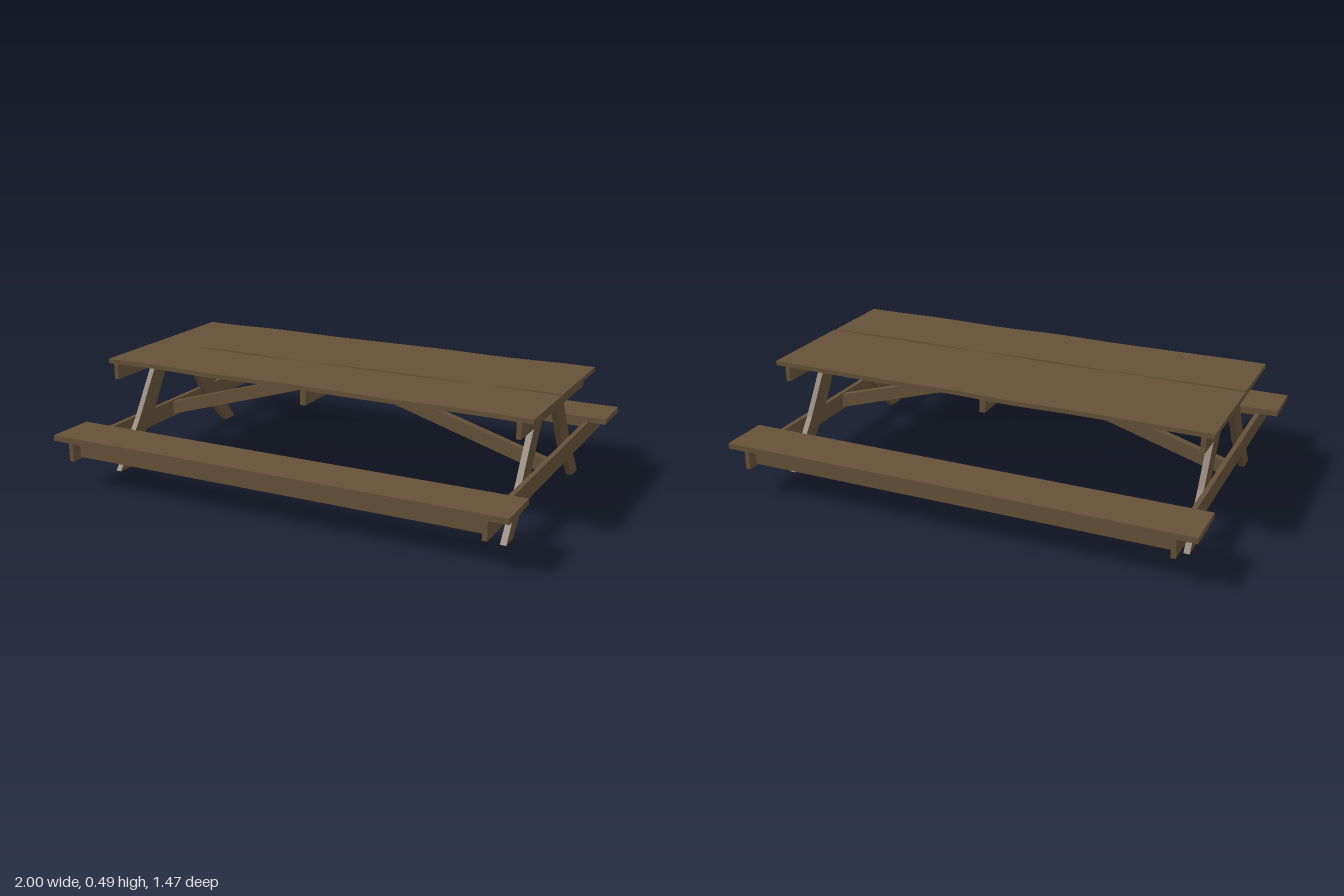
import * as THREE from 'three';

const wood = new THREE.MeshStandardMaterial({ color: 0x655239 });
wood.name = 'weathered brown wood';

export function createModel() {
  const group = new THREE.Group();

  const add = (name, geometry) => {
    const mesh = new THREE.Mesh(geometry, wood);
    mesh.name = name;
    group.add(mesh);
    return mesh;
  };

  // Box given by its extents on each axis
  const board = (name, [x0, x1], [y0, y1], [z0, z1], segments = 1) => {
    const g = new THREE.BoxGeometry(x1 - x0, y1 - y0, z1 - z0, segments, 1, 1);
    g.translate((x0 + x1) / 2, (y0 + y1) / 2, (z0 + z1) / 2);
    return add(name, g);
  };

  // Outline in the xy plane, extruded and centred on z
  const slab = (points, depth) => {
    const shape = new THREE.Shape(points.map(([x, y]) => new THREE.Vector2(x, y)));
    const g = new THREE.ExtrudeGeometry(shape, { depth, bevelEnabled: false });
    return g.translate(0, 0, -depth / 2);
  };

  // Table top: two wide boards with slightly worn, wavy edges
  [[-0.412, 0.047], [0.058, 0.4]].forEach((z, i) => {
    const top = board('tableTopBoard', [-0.955, 0.965], [0.468, 0.487], z, 24);
    const p = top.geometry.attributes.position;
    for (let k = 0; k < p.count; k++) {
      const x = p.getX(k);
      p.setY(k, p.getY(k) + 0.0015 * Math.sin(x * 9 + i * 2));
      p.setZ(k, p.getZ(k) + 0.002 * Math.sin(x * 13 + i));
    }
    top.geometry.computeVertexNormals();
    top.geometry = top.geometry.toNonIndexed();
    top.geometry.computeVertexNormals();
  });

  // Centre cleat under the top
  board('centreCleat', [-0.012, 0.012], [0.405, 0.468], [-0.39, 0.39]);

  // Benches with a stiffening rail below
  for (const s of [-1, 1]) {
    const span = (a, b) => (s > 0 ? [a, b] : [-b, -a]);
    board('benchSeat', [-1, 1], [0.205, 0.229], span(0.524, 0.735));
    board('benchRail', [-0.902, 0.902], [0.135, 0.205], span(0.67, 0.69));
  }

  // End frames: cleat, cross beam, splayed legs and diagonal brace
  const legOutline = [[0.463, 0], [0.31, 0.2], [0.14, 0.468], [0.045, 0.468], [0.205, 0.2], [0.387, 0]];
  for (const s of [-1, 1]) {
    const span = (a, b) => (s > 0 ? [a, b] : [-b, -a]);
    board('endCleat', span(0.902, 0.922), [0.403, 0.468], [-0.408, 0.408]);
    board('crossBeam', span(0.902, 0.922), [0.128, 0.205], [-0.735, 0.735]);

    for (const side of [-1, 1]) {
      const points = legOutline.map(([z, y]) => [z * side, y]);
      const leg = add('leg', slab(points, 0.025));
      leg.rotation.y = -Math.PI / 2;
      leg.position.x = s * 0.889;
    }

    const brace = [[0, 0.466], [0.902, 0.199], [0.902, 0.138], [0, 0.41]];
    add('diagonalBrace', slab(brace.map(([x, y]) => [x * s, y]), 0.034));
  }

  return group;
}
